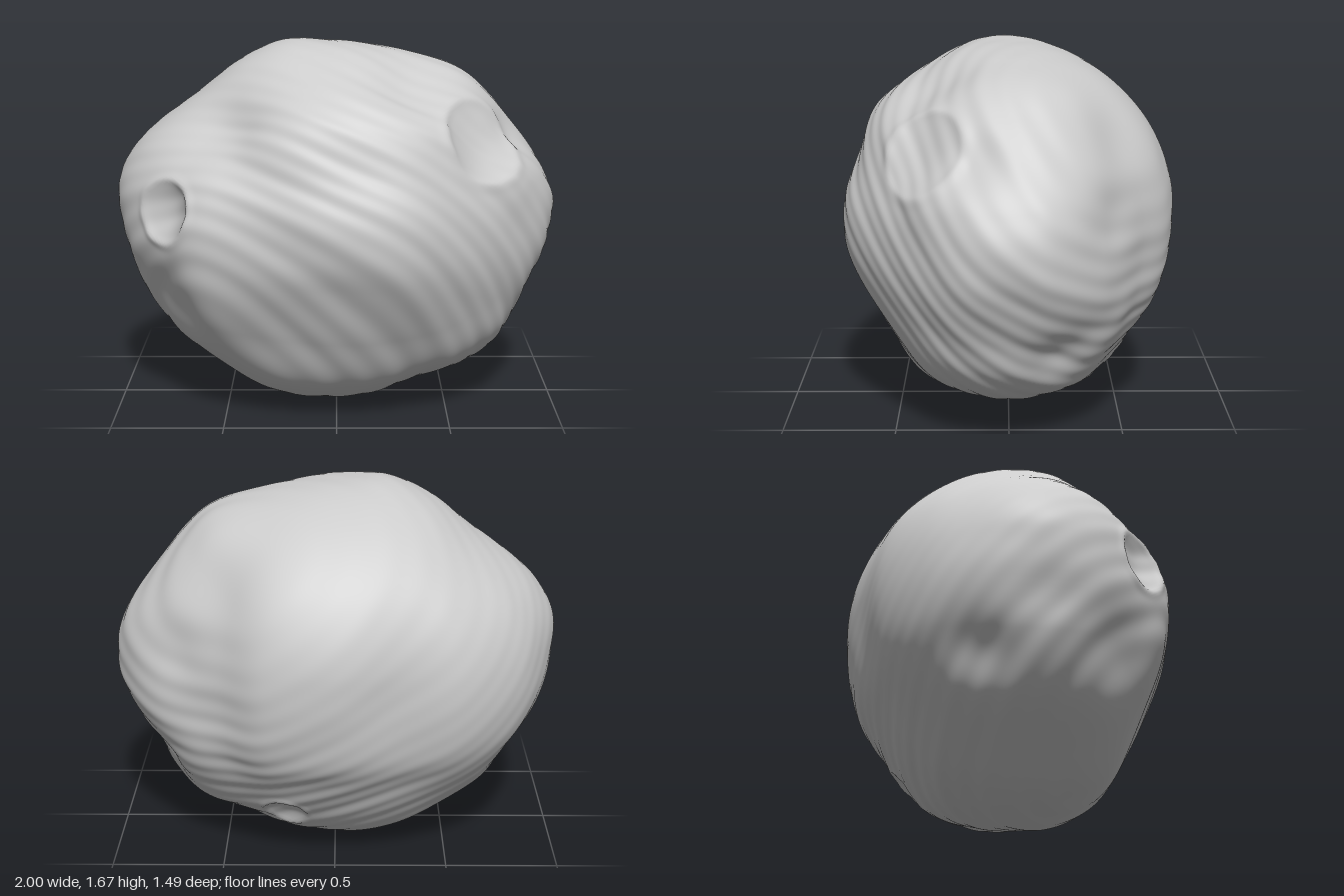
import * as THREE from 'three';
import { mergeVertices } from 'three/addons/utils/BufferGeometryUtils.js';

const HALF = new THREE.Vector3(1, 0.835, 0.75); // half extents of the rock

// Outlines in three planes, as pairs measured from the ground and centre lines
const FRONT = [ // x, y
  [1, 0.92], [0.95, 1.07], [0.85, 1.22], [0.7, 1.41], [0.55, 1.54], [0.3, 1.61], [0, 1.64], [-0.2, 1.67],
  [-0.4, 1.59], [-0.6, 1.44], [-0.9, 1.2], [-1, 1], [-0.91, 0.75], [-0.88, 0.55], [-0.75, 0.35],
  [-0.5, 0.17], [-0.3, 0.05], [-0.08, 0], [0.1, 0.04], [0.4, 0.13], [0.6, 0.18], [0.77, 0.32], [0.85, 0.5], [0.92, 0.68]];
const SIDE = [ // z, y
  [0.75, 0.92], [0.68, 1.15], [0.6, 1.37], [0.4, 1.53], [0.1, 1.67], [-0.2, 1.63], [-0.45, 1.5], [-0.65, 1.28],
  [-0.75, 1], [-0.72, 0.75], [-0.68, 0.55], [-0.6, 0.42], [-0.45, 0.2], [-0.3, 0.07], [0.07, 0], [0.4, 0.15],
  [0.55, 0.4], [0.65, 0.65]];
const TOP = [ // x, z
  [1, -0.1], [0.95, 0.18], [0.75, 0.4], [0.5, 0.6], [0.3, 0.72], [0.13, 0.75], [-0.2, 0.68], [-0.6, 0.6],
  [-0.75, 0.47], [-0.95, 0.22], [-1, -0.03], [-0.92, -0.3], [-0.8, -0.48], [-0.55, -0.64], [-0.2, -0.69],
  [0.05, -0.75], [0.3, -0.71], [0.5, -0.57], [0.8, -0.4], [0.95, -0.22]];

// Turns an outline into a smooth function: angle -> radius relative to the ellipse
function polar(points, a, b, offset) {
  const curve = new THREE.CatmullRomCurve3(
    points.map(([p, q]) => new THREE.Vector3(p / a, (q - offset) / b, 0)), true);
  const table = curve.getPoints(300).slice(0, 300)
    .map(p => [Math.atan2(p.y, p.x), Math.hypot(p.x, p.y)])
    .sort((p, q) => p[0] - q[0]);
  const first = table[0], last = table[table.length - 1];
  table.unshift([last[0] - 2 * Math.PI, last[1]]);
  table.push([first[0] + 2 * Math.PI, first[1]]);
  return (u, v) => {
    const angle = Math.atan2(v, u);
    let lo = 0, hi = table.length - 1;
    while (hi - lo > 1) {
      const mid = (lo + hi) >> 1;
      if (table[mid][0] > angle) hi = mid; else lo = mid;
    }
    const [t0, r0] = table[lo], [t1, r1] = table[hi];
    return r0 + (r1 - r0) * (angle - t0) / Math.max(t1 - t0, 1e-6);
  };
}

const front = polar(FRONT, HALF.x, HALF.y, HALF.y);
const side = polar(SIDE, HALF.z, HALF.y, HALF.y);
const top = polar(TOP, HALF.x, HALF.z, 0);

// Craters (bowl with a faint rim) and broad soft hollows; a negative depth swells
const spot = (x, y, z, radius, depth) => {
  const centre = new THREE.Vector3(x, y - HALF.y, z);
  return { dir: centre.clone().normalize(), reach: centre.length(), radius, depth };
};
const craters = [
  spot(0.61, 1.25, 0.36, 0.19, 0.045),
  spot(-0.74, 0.97, 0.47, 0.14, 0.05),
  spot(0.25, 0.16, -0.5, 0.11, 0.03)];
const hollows = [
  spot(-0.78, 0.54, 0.34, 0.26, 0.04),
  spot(0.75, 0.98, -0.43, 0.22, 0.04),
  spot(0.52, 1.32, -0.46, 0.25, 0.03),
  spot(0.8, 0.4, -0.22, 0.18, 0.045),
  spot(0.66, 0.5, -0.5, 0.18, -0.02),
  spot(-0.82, 0.48, -0.25, 0.2, 0.045),
  spot(-0.5, 1.33, 0.46, 0.3, 0.09),
  spot(0.32, 1.47, 0.32, 0.25, 0.045),
  spot(0.82, 1.28, 0.16, 0.18, 0.035),
  spot(0.8, 1.08, 0.36, 0.18, -0.025)];

const grain = new THREE.Vector3(0.42, 0.68, -0.6).normalize(); // across the grooves
const smoothSide = new THREE.Vector3(-0.4, 0.6, -0.7).normalize(); // where the grooves fade

// Relative radius from the three outlines, each strongest near its own plane
function outlineRadius(n) {
  const weight = c => (1 - c * c) / (c * c + 0.03);
  const wf = weight(n.z), ws = weight(n.x), wt = weight(n.y);
  return (wf * front(n.x, n.y) + ws * side(n.z, n.y) + wt * top(n.x, n.z)) / (wf + ws + wt);
}

function surfacePoint(n) {
  const p = n.clone().multiplyScalar(outlineRadius(n)).multiply(HALF);
  const dir = p.clone().normalize();
  // fine parallel grooves, slightly warped
  const warp = 0.02 * Math.sin(5 * p.x + 2 * p.z) + 0.015 * Math.sin(6 * p.z - 3 * p.y);
  const phase = p.dot(grain) + warp;
  const fade = 1 - 0.75 * THREE.MathUtils.smoothstep(dir.dot(smoothSide), 0, 0.7);
  let lift = fade * (0.002 * Math.sin(75 * phase) + 0.003 * Math.sin(31 * phase + 1));
  for (const c of hollows) {
    const t = dir.distanceTo(c.dir) * c.reach / c.radius;
    lift -= c.depth * Math.exp(-2 * t * t);
  }
  for (const c of craters) {
    const t = dir.distanceTo(c.dir) * c.reach / c.radius;
    if (t < 1) lift -= c.depth * (1 - t * t);
    lift += 0.12 * c.depth * Math.exp(-(((t - 1.05) / 0.15) ** 2));
  }
  return p.addScaledVector(dir, lift);
}

export function createModel() {
  const group = new THREE.Group();
  group.name = 'asteroid';

  let geometry = new THREE.IcosahedronGeometry(1, 72);
  geometry.deleteAttribute('uv');
  geometry.deleteAttribute('normal');
  geometry = mergeVertices(geometry, 1e-5);

  const position = geometry.attributes.position;
  const v = new THREE.Vector3();
  for (let i = 0; i < position.count; i++) {
    const p = surfacePoint(v.fromBufferAttribute(position, i).normalize());
    position.setXYZ(i, p.x, p.y, p.z);
  }

  // Centre the rock and rest it on the ground
  geometry.center();
  geometry.translate(0, geometry.boundingBox.max.y, 0);
  geometry.computeVertexNormals();

  const rock = new THREE.Mesh(geometry, new THREE.MeshStandardMaterial({ color: 0xcccccc }));
  rock.name = 'rock';
  group.add(rock);
  return group;
}
